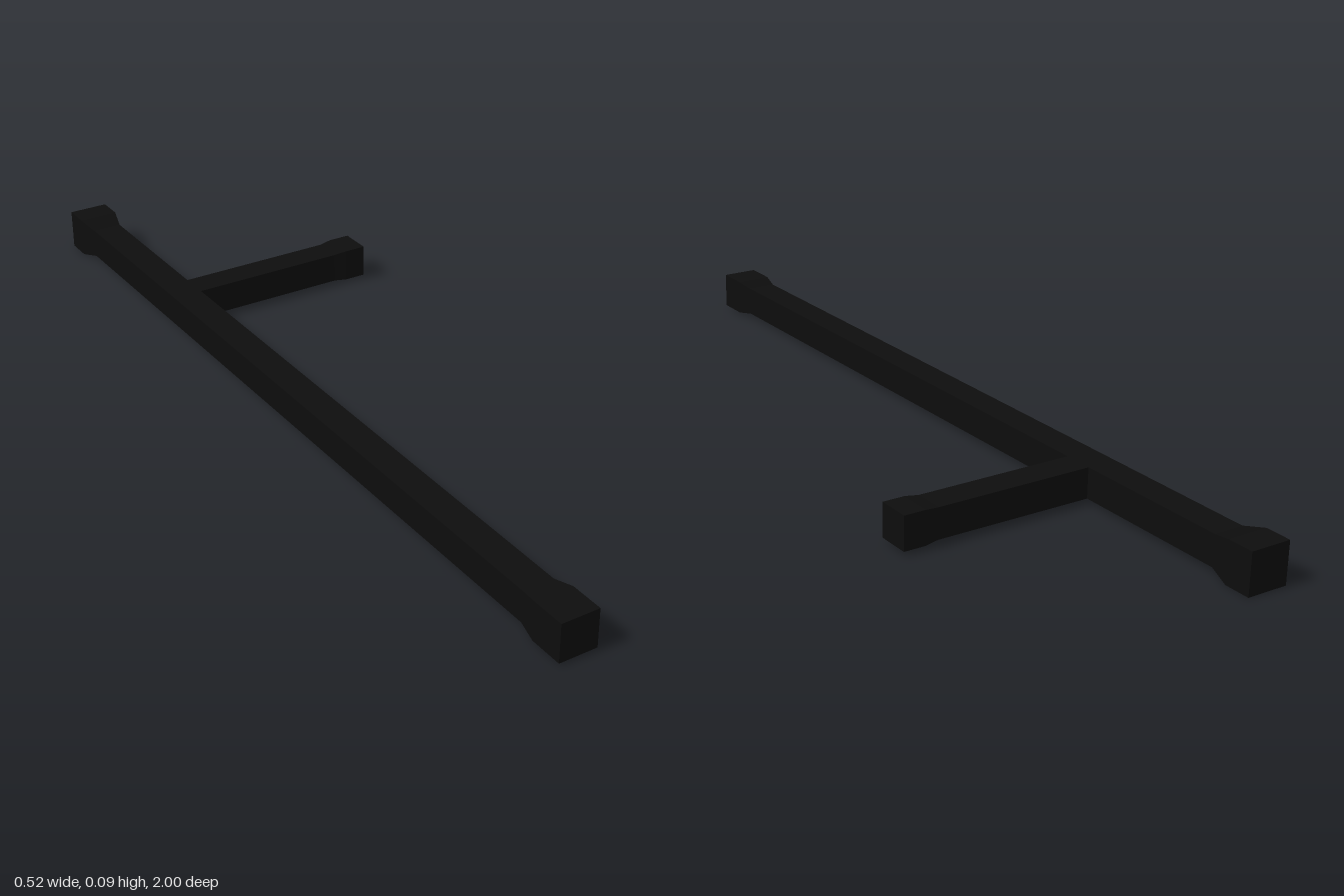
import * as THREE from 'three';

const black = new THREE.MeshStandardMaterial({ color: 0x0d0d0d });
black.name = 'black';

// Square bar along +y from [half width, position] sections, capped where the half width is 0
function squareBar(name, sections) {
  const points = sections.map(([half, y]) => new THREE.Vector2(half * Math.SQRT2, y));
  const geometry = new THREE.LatheGeometry(points, 4, Math.PI / 4).toNonIndexed();
  geometry.computeVertexNormals();
  const mesh = new THREE.Mesh(geometry, black);
  mesh.name = name;
  return mesh;
}

export function createModel() {
  const group = new THREE.Group();
  group.name = 'sideHandleBaton';

  // Long shaft with a flared knob at each end
  const shaft = squareBar('shaft', [
    [0, -1], [0.046, -1], [0.046, -0.94], [0.034, -0.89],
    [0.034, 0.88], [0.042, 0.925], [0.042, 1], [0, 1],
  ]);
  shaft.rotation.x = Math.PI / 2;
  shaft.position.set(-0.215, 0.047, 0);

  // Side handle with a smaller flared knob
  const handle = squareBar('sideHandle', [
    [0, 0], [0.034, 0], [0.034, 0.395], [0.0375, 0.425], [0.0375, 0.475], [0, 0.475],
  ]);
  handle.rotation.z = -Math.PI / 2;
  handle.position.set(-0.215, 0.047, -0.489);

  group.add(shaft, handle);
  return group;
}
